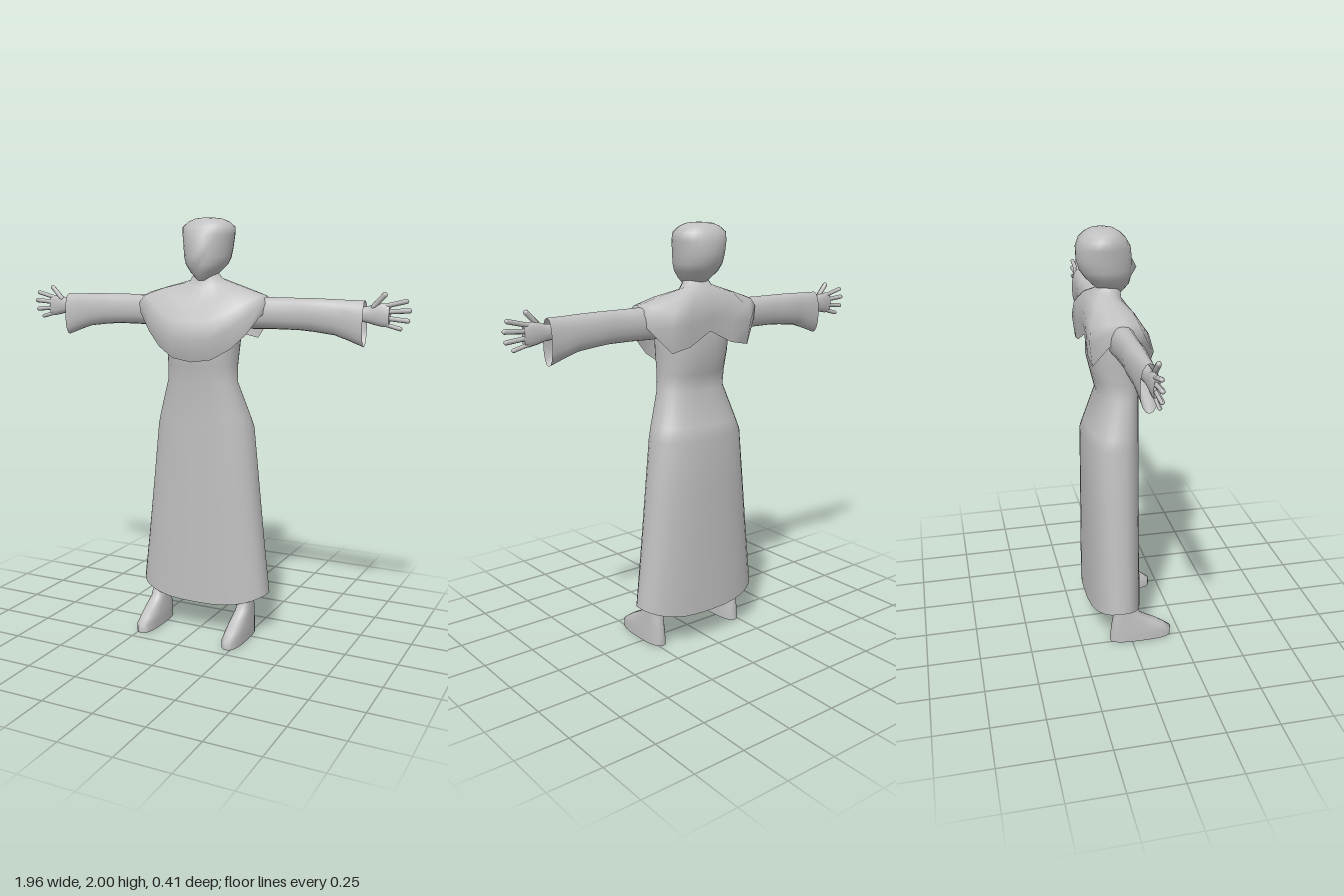
import * as THREE from 'three';

const cloth = new THREE.MeshStandardMaterial({ color: 0xc0c0c0, side: THREE.DoubleSide });
cloth.name = 'plain grey';

// Skin a list of closed rings (same point count); optional separate end caps
function loft(rings, capStart = false, capEnd = false) {
  const n = rings[0].length, pos = [], idx = [];
  rings.forEach(r => r.forEach(p => pos.push(...p)));
  for (let i = 0; i < rings.length - 1; i++) for (let j = 0; j < n; j++) {
    const k = (j + 1) % n, a = i * n + j, b = i * n + k;
    idx.push(a, b, b + n, a, b + n, a + n);
  }
  const cap = (ring, flip) => {
    const base = pos.length / 3, c = [0, 0, 0];
    ring.forEach(p => { pos.push(...p); p.forEach((v, i) => { c[i] += v / n; }); });
    pos.push(...c);
    for (let j = 0; j < n; j++) {
      const a = base + j, b = base + (j + 1) % n;
      idx.push(...(flip ? [b, a, base + n] : [a, b, base + n]));
    }
  };
  if (capStart) cap(rings[0], true);
  if (capEnd) cap(rings[rings.length - 1], false);
  const g = new THREE.BufferGeometry();
  g.setAttribute('position', new THREE.Float32BufferAttribute(pos, 3));
  g.setIndex(idx);
  g.computeVertexNormals();
  return g;
}

// Rounded-square sine and cosine around a ring
const around = (n, power, fn) => Array.from({ length: n }, (_, j) => {
  const t = j / n * Math.PI * 2;
  const soft = v => Math.abs(v) < 1e-6 ? 0 : Math.sign(v) * Math.abs(v) ** power;
  return fn(soft(Math.sin(t)), soft(Math.cos(t)));
});

// Horizontal ring: height, half width, front z, back z, centre x; lift raises the sides, tilt the back
const flatRing = ([y, rx, zf, zb, cx = 0], n, power, lift = 0, tilt = 0) => around(n, power, (s, c) =>
  [cx + rx * s, y + lift * Math.abs(s) ** 3 - tilt * c, (zf + zb) / 2 + (zf - zb) / 2 * c]);

// Upright ring across an arm: x, top y, bottom y, half depth
const armRing = ([x, top, bottom, rz], n) =>
  around(n, 0.9, (s, c) => [x, (top + bottom) / 2 - (top - bottom) / 2 * s, -0.056 + rz * c]);

// Full ring from its +x half, listed front to back
const mirrorRing = half => [...half, ...half.slice(1, -1).reverse().map(([x, y, z]) => [-x, y, z])];

function flipX(geometry) {
  const g = geometry.clone().scale(-1, 1, 1), ix = g.index.array;
  for (let i = 0; i < ix.length; i += 3) [ix[i], ix[i + 1]] = [ix[i + 1], ix[i]];
  g.computeVertexNormals();
  return g;
}

// Rounded finger between two points
function finger(a, b, r) {
  const from = new THREE.Vector3(...a), to = new THREE.Vector3(...b), dir = to.clone().sub(from);
  const g = new THREE.CapsuleGeometry(r, dir.length() - r, 4, 8);
  const q = new THREE.Quaternion().setFromUnitVectors(new THREE.Vector3(0, 1, 0), dir.clone().normalize());
  const mid = from.add(to).multiplyScalar(0.5);
  return g.applyQuaternion(q).translate(mid.x, mid.y, mid.z);
}

// Shoulder cape: wavy lower edge, chest bulge, rounded shoulder, slope and tilted neck
function capeGeometry() {
  const edge = mirrorRing([
    [0, 1.34, 0.103], [0.1, 1.355, 0.1], [0.185, 1.405, 0.075], [0.25, 1.47, 0.05], [0.31, 1.555, 0.025],
    [0.322, 1.575, -0.05], [0.31, 1.55, -0.12], [0.22, 1.44, -0.175], [0.12, 1.46, -0.178], [0, 1.52, -0.17],
  ]);
  const chest = mirrorRing([
    [0, 1.44, 0.137], [0.1, 1.45, 0.132], [0.18, 1.49, 0.1], [0.24, 1.54, 0.07], [0.315, 1.605, 0.032],
    [0.327, 1.625, -0.05], [0.313, 1.61, -0.122], [0.228, 1.55, -0.188], [0.12, 1.56, -0.184], [0, 1.58, -0.178],
  ]);
  const slope = mirrorRing([
    [0, 1.61, 0.055], [0.06, 1.615, 0.052], [0.11, 1.635, 0.04], [0.155, 1.66, 0.02], [0.2, 1.675, -0.01],
    [0.21, 1.678, -0.055], [0.2, 1.677, -0.105], [0.15, 1.685, -0.145], [0.08, 1.7, -0.155], [0, 1.7, -0.155],
  ]);
  // Halfway up, pushed outward from the body axis
  const shoulder = chest.map(([x, y, z], i) => {
    const [u, v, w] = slope[i];
    return [(x + u) / 2 * 1.12, (y + v) / 2, -0.06 + ((z + w) / 2 + 0.06) * 1.12];
  });
  const collar = flatRing([1.708, 0.085, 0, -0.118], edge.length, 1, 0, 0.022);
  const neck = flatRing([1.75, 0.055, -0.005, -0.108], edge.length, 1, 0, 0.01);
  return loft([edge, chest, shoulder, slope, collar, neck]);
}

export function createModel() {
  const model = new THREE.Group();
  model.name = 'robedFigure';
  const add = (geometry, name) => {
    const m = new THREE.Mesh(geometry, cloth);
    m.name = name;
    model.add(m);
  };
  const addPair = (geometry, name) => {
    add(geometry, name + 'Left');
    add(flipX(geometry), name + 'Right');
  };

  // Long robe with a hem that rises at the sides
  add(loft([
    [0.155, 0.335, 0.07, -0.19], [0.45, 0.306, 0.07, -0.19],
    [0.75, 0.274, 0.07, -0.19], [1.02, 0.245, 0.07, -0.19], [1.08, 0.228, 0.07, -0.17],
    [1.24, 0.176, 0.073, -0.118], [1.32, 0.172, 0.088, -0.138], [1.42, 0.178, 0.1, -0.162],
    [1.52, 0.185, 0.095, -0.16], [1.6, 0.17, 0.045, -0.15], [1.66, 0.1, 0.0, -0.12],
  ].map((r, i) => flatRing(r, 32, 0.85, i === 0 ? 0.055 : 0))), 'robe');

  add(capeGeometry(), 'shoulderCape');

  // Head with a tapered face and a small nose
  add(loft([
    [1.712, 0.03, 0.003, -0.085], [1.75, 0.068, 0.037, -0.13], [1.785, 0.1, 0.045, -0.165],
    [1.82, 0.112, 0.05, -0.19], [1.865, 0.118, 0.048, -0.202], [1.92, 0.126, 0.042, -0.204],
    [1.958, 0.129, 0.02, -0.19], [1.982, 0.1, -0.005, -0.165], [1.996, 0.066, -0.03, -0.14],
    [2.0, 0.03, -0.055, -0.11],
  ].map((r, i) => {
    const ring = flatRing(r, 24, 0.95);
    ring.forEach(p => { if (p[2] > -0.07) p[0] *= 1 - 1.2 * (p[2] + 0.07); });
    if (i === 3) ring[0][2] += 0.022;
    return ring;
  }), true, true), 'head');

  // Sleeves, flaring downward to open cuffs
  addPair(loft([
    [0.14, 1.63, 1.5, 0.05], [0.25, 1.642, 1.492, 0.062], [0.36, 1.64, 1.495, 0.052],
    [0.47, 1.64, 1.495, 0.046], [0.54, 1.64, 1.49, 0.05], [0.64, 1.638, 1.478, 0.043],
    [0.7, 1.636, 1.458, 0.04], [0.775, 1.635, 1.43, 0.038],
  ].map(r => armRing(r, 16))), 'sleeve');

  // Hands: wrist and palm, then fingers and thumb
  addPair(loft([
    [0.6, 1.61, 1.53, 0.03], [0.74, 1.607, 1.543, 0.024], [0.785, 1.61, 1.54, 0.02],
    [0.82, 1.622, 1.53, 0.021], [0.86, 1.625, 1.522, 0.019], [0.885, 1.615, 1.527, 0.014],
  ].map(r => armRing(r, 12)), true, true), 'palm');
  [
    [[0.86, 1.612, -0.058], [0.962, 1.637, -0.058], 0.0105],
    [[0.86, 1.588, -0.058], [0.976, 1.596, -0.058], 0.011],
    [[0.86, 1.562, -0.058], [0.97, 1.551, -0.058], 0.0105],
    [[0.85, 1.538, -0.058], [0.938, 1.515, -0.058], 0.0095],
    [[0.81, 1.605, -0.05], [0.868, 1.667, -0.046], 0.012],
  ].forEach(([a, b, r], i) => addPair(finger(a, b, r), i < 4 ? 'finger' + (i + 1) : 'thumb'));

  // Legs running down into flat-soled feet
  addPair(loft([
    [0, 0.045, 0.203, -0.106, 0.23], [0.04, 0.045, 0.203, -0.103, 0.23], [0.065, 0.043, 0.17, -0.1, 0.23],
    [0.095, 0.04, 0.125, -0.096, 0.231], [0.135, 0.036, 0.05, -0.088, 0.232],
    [0.2, 0.034, 0.017, -0.068, 0.232], [0.4, 0.045, 0.025, -0.1, 0.2], [0.8, 0.055, 0.03, -0.12, 0.13],
  ].map(r => flatRing(r, 20, 0.75)), true, true), 'leg');

  return model;
}
